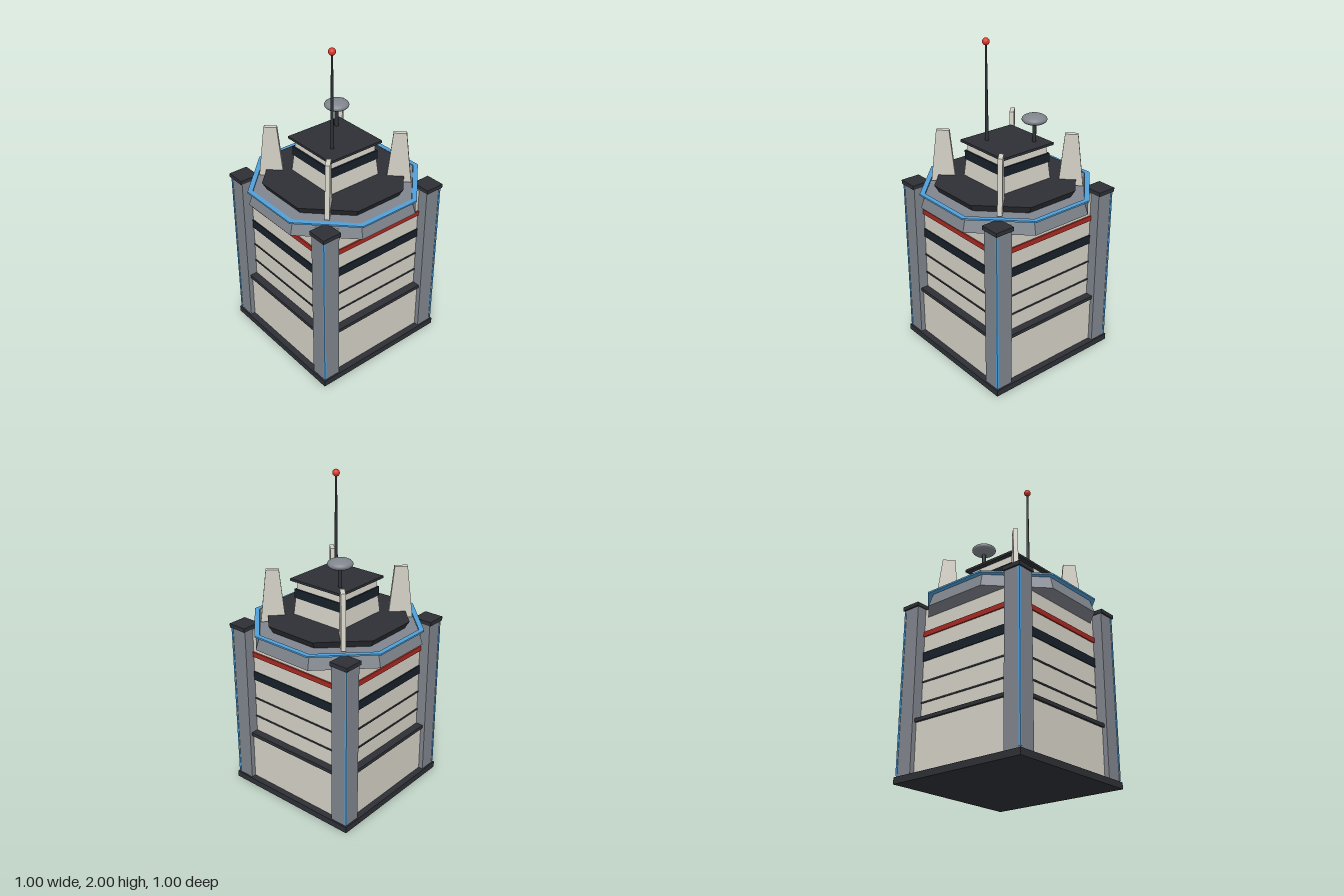
import * as THREE from 'three';

const mat = (color) => new THREE.MeshStandardMaterial({ color, flatShading: true });
const smooth = (color) => new THREE.MeshStandardMaterial({ color });

export function createModel() {
  const model = new THREE.Group();
  model.name = 'towerBuilding';
  const cream = mat(0xd4d1c6), grey = mat(0x80858d), dark = mat(0x2d3035);
  const navy = mat(0x17202a), blue = mat(0x4f9fd9), red = mat(0xa82a22);

  const add = (name, geometry, material, x = 0, y = 0, z = 0) => {
    const mesh = new THREE.Mesh(geometry, material);
    mesh.name = name;
    mesh.position.set(x, y, z);
    model.add(mesh);
    return mesh;
  };
  // Square slab given by half width and its bottom and top heights
  const slab = (name, half, y0, y1, material, x = 0, z = 0) =>
    add(name, new THREE.BoxGeometry(half * 2, y1 - y0, half * 2), material, x, (y0 + y1) / 2, z);
  // Tapered prism with flat sides; sizes are distances from centre to side
  const prism = (name, sides, bottom, top, y0, y1, material) => {
    const k = 1 / Math.cos(Math.PI / sides);
    const g = new THREE.CylinderGeometry(top * k, bottom * k, y1 - y0, sides);
    g.rotateY(Math.PI / sides);
    return add(name, g, material, 0, (y0 + y1) / 2, 0);
  };

  // Body with its trims and bands
  slab('base', 0.46, 0, 0.04, dark);
  slab('podium', 0.42, 0.04, 0.345, cream);
  slab('podiumTrim', 0.434, 0.345, 0.367, dark);
  slab('walls', 0.385, 0.367, 1.07, cream);
  slab('lowerLine', 0.39, 0.467, 0.477, dark);
  slab('upperLine', 0.39, 0.595, 0.605, dark);
  slab('windowBand', 0.391, 0.73, 0.788, navy);
  slab('redBand', 0.394, 0.89, 0.922, red);

  // Roof fin outline, standing in its own xy plane
  const finShape = new THREE.Shape([[-0.075, 0], [0.075, 0], [0.042, 0.33], [-0.036, 0.33]]
    .map(([x, y]) => new THREE.Vector2(x, y)));
  const finGeometry = new THREE.ExtrudeGeometry(finShape, { depth: 0.028, bevelEnabled: false });
  finGeometry.translate(0, 0, -0.014);

  // Corner pillars, light strips, caps and fins
  for (const sx of [-1, 1]) for (const sz of [-1, 1]) {
    slab('pillar', 0.055, 0.04, 1.075, grey, sx * 0.395, sz * 0.395);
    slab('cornerLight', 0.006, 0.05, 1.07, blue, sx * 0.447, sz * 0.447);
    slab('pillarCap', 0.0625, 1.075, 1.1, dark, sx * 0.3975, sz * 0.3975);
    const fin = add('roofFin', finGeometry, cream, sx * 0.273, 1.11, sz * 0.273);
    fin.rotation.y = Math.atan2(sz, -sx);
  }

  // Octagonal crown with light rim
  prism('crownSkirt', 8, 0.495, 0.468, 1.015, 1.103, grey);
  const octagon = (apothem) => Array.from({ length: 8 }, (_, i) => {
    const a = (i + 0.5) * Math.PI / 4, r = apothem / Math.cos(Math.PI / 8);
    return new THREE.Vector2(Math.cos(a) * r, Math.sin(a) * r);
  });
  const rimShape = new THREE.Shape(octagon(0.5));
  rimShape.holes.push(new THREE.Path(octagon(0.47).reverse()));
  const rim = new THREE.ExtrudeGeometry(rimShape, { depth: 0.01, bevelEnabled: false });
  rim.rotateX(-Math.PI / 2);
  add('crownLightRim', rim, blue, 0, 1.097, 0);
  prism('roofDeck', 8, 0.39, 0.417, 1.103, 1.15, dark);

  // Penthouse
  prism('penthouse', 4, 0.185, 0.165, 1.15, 1.365, cream);
  slab('penthouseWindows', 0.18, 1.255, 1.312, navy);
  slab('penthouseRoof', 0.197, 1.365, 1.38, dark);

  // Antenna and dish
  add('antenna', new THREE.CylinderGeometry(0.006, 0.011, 0.59, 12), smooth(0x2d3035), -0.088, 1.675, 0.082);
  add('antennaBeacon', new THREE.SphereGeometry(0.022, 20, 14), smooth(0xd8382b), -0.088, 1.978, 0.082);
  add('dishMast', new THREE.CylinderGeometry(0.012, 0.012, 0.13, 12), smooth(0x2d3035), 0.111, 1.445, -0.118);
  const dish = add('dish', new THREE.SphereGeometry(0.076, 28, 18), smooth(0x80858d), 0.111, 1.522, -0.118);
  dish.scale.y = 0.42;

  return model;
}
